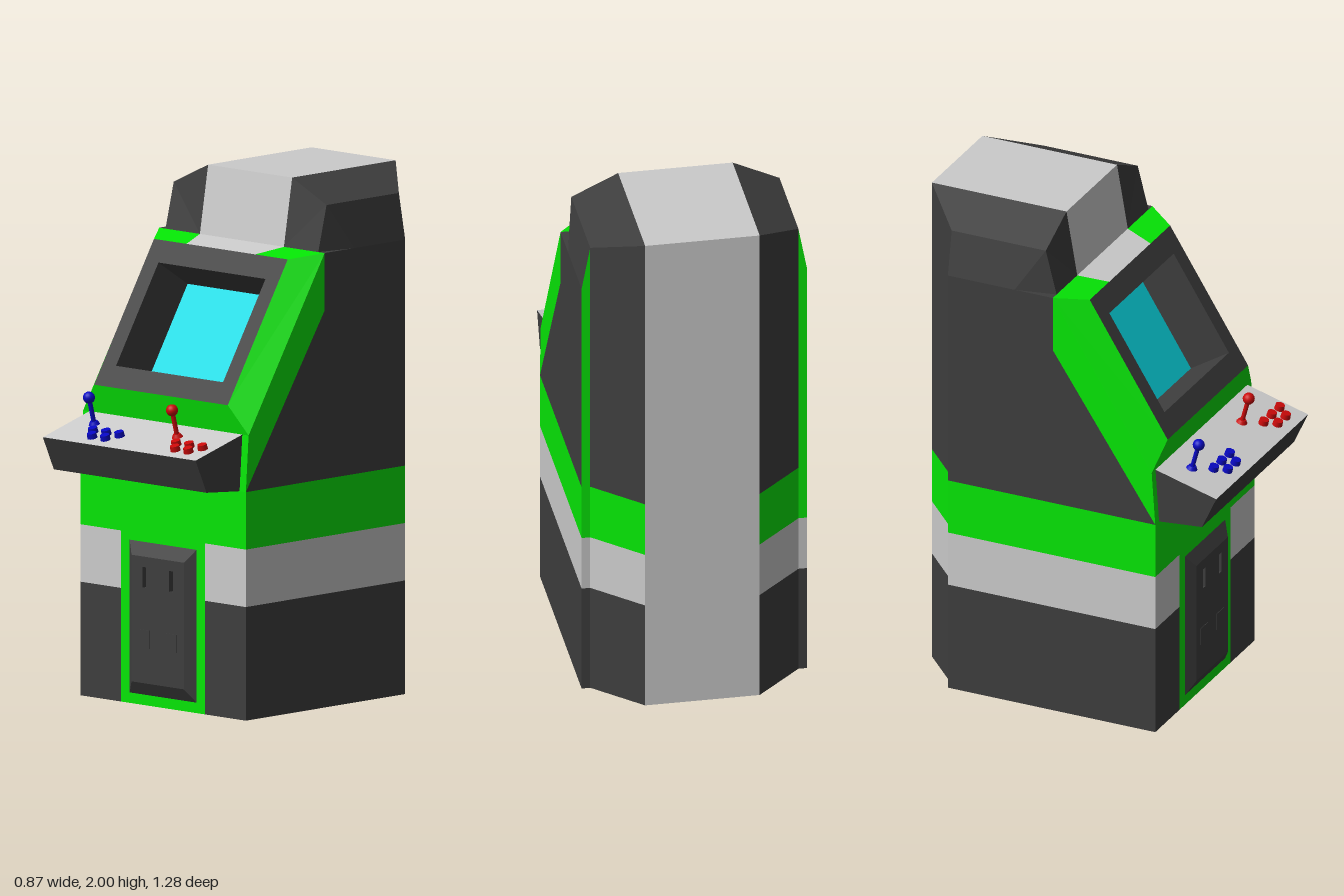
import * as THREE from 'three';

const GREEN = 0x05e605, DARK = 0x3e3e3e, SLOT = 0x222222, LIGHT = 0xcccccc, CYAN = 0x08dce6, BLUE = 0x0808c4, RED = 0xcc0a0a;
const W = 0.433; // half width of the cabinet
const material = color => new THREE.MeshStandardMaterial({ color });

// Flat polygons, corners counter-clockwise from outside, fanned from the first corner
function facets(name, color, faces) {
  const pos = [];
  for (const f of faces)
    for (let i = 1; i < f.length - 1; i++) pos.push(...f[0], ...f[i], ...f[i + 1]);
  const g = new THREE.BufferGeometry();
  g.setAttribute('position', new THREE.Float32BufferAttribute(pos, 3));
  g.computeVertexNormals();
  return solid(name, color, g);
}

function solid(name, color, geometry, x = 0, y = 0, z = 0) {
  const m = new THREE.Mesh(geometry, material(color));
  m.name = name;
  m.position.set(x, y, z);
  return m;
}

// Add the mirror image (x -> -x) of each face, keeping its first corner first
const both = faces => faces.flatMap(f => {
  const [first, ...rest] = f.map(([x, y, z]) => [-x, y, z]);
  return [f, [first, ...rest.reverse()]];
});
// Face spanning the width, from half-width points listed bottom to top
const span = (a, b) => [[-a[0], a[1], a[2]], a, b, [-b[0], b[1], b[2]]];

function rectPath(target, x0, y0, x1, y1) {
  target.moveTo(x0, y0);
  target.lineTo(x1, y0);
  target.lineTo(x1, y1);
  target.lineTo(x0, y1);
  target.closePath();
  return target;
}

function plate(outer, holes, depth) {
  const s = rectPath(new THREE.Shape(), ...outer);
  for (const h of holes) s.holes.push(rectPath(new THREE.Path(), ...h));
  return new THREE.ExtrudeGeometry(s, { depth, bevelEnabled: false });
}

function cabinet() {
  const g = new THREE.Group();
  g.name = 'cabinet';
  // Coloured bands wrapped round the lower body
  const plan = [[0.22, 0.4], [W, 0.4], [W, -0.47], [0.4, -0.47], [0.22, -0.64]];
  const bands = [['baseBand', DARK, 0, 0.435], ['middleBand', LIGHT, 0.435, 0.655], ['upperBand', GREEN, 0.655, 0.875]];
  for (const [name, color, lo, hi] of bands) {
    const faces = plan.slice(1).map(([x, z], i) => {
      const [px, pz] = plan[i];
      return [[px, lo, pz], [x, lo, z], [x, hi, z], [px, hi, pz]];
    });
    g.add(facets(name, color, both(faces)));
  }
  g.add(facets('frontCentre', GREEN, [span([0.22, 0, 0.4], [0.22, 0.875, 0.4])]));
  const right = plan.map(([x, z]) => [x, 0, z]);
  const left = plan.map(([x, z]) => [-x, 0, z]);
  g.add(facets('underside', DARK, [[...left, ...right.reverse()]]));

  // Upper sides and rear corners
  g.add(facets('sidePanels', DARK, both([
    [[W, 1.52, -0.03], [W, 0.875, 0.4], [W, 0.875, -0.47], [W, 1.74, -0.47], [W, 1.74, -0.03]],
    [[0.4, 0.875, -0.47], [0.22, 0.875, -0.64], [0.22, 2, -0.64], [0.4, 1.915, -0.47]],
  ])));
  g.add(facets('sideTrim', GREEN, both([
    [[W, 0.875, 0.4], [W, 1.52, -0.03], [W, 1.74, -0.03], [W, 1.09, 0.385]],
    [[W, 0.875, -0.47], [0.4, 0.875, -0.47], [0.4, 1.915, -0.47], [W, 1.74, -0.47]],
  ])));
  g.add(facets('spine', LIGHT, [
    span([-0.22, 0, -0.64], [-0.22, 2, -0.64]),
    span([0.22, 2, -0.075], [0.22, 2, -0.64]),
    span([0.22, 1.74, -0.03], [0.22, 2, -0.075]),
    span([0.18, 1.72, 0.085], [0.22, 1.74, -0.03]),
  ]));

  // Chamfered head, narrower at the front so a small ledge is left on each side
  const corner = [0.4, 1.915, -0.075], foot = [0.4, 1.74, -0.03], ledgeEnd = [W, 1.74, -0.19];
  g.add(facets('head', DARK, both([
    [corner, foot, ledgeEnd, [W, 1.74, -0.47], [0.4, 1.915, -0.47]],
    [foot, [W, 1.74, -0.03], ledgeEnd],
    [[0.22, 1.74, -0.03], foot, corner, [0.22, 2, -0.075]],
    [[0.22, 2, -0.075], corner, [0.4, 1.915, -0.47], [0.22, 2, -0.64]],
  ])));

  // Sloping surround of the screen
  g.add(facets('screenSurround', GREEN, [
    ...both([
      [[0.35, 1.2, 0.412], [W, 1.09, 0.385], [W, 1.74, -0.03], [0.35, 1.72, 0.085]],
      [[0.18, 1.72, 0.085], [0.35, 1.72, 0.085], [W, 1.74, -0.03], [0.22, 1.74, -0.03]],
    ]),
    span([W, 1.09, 0.385], [0.35, 1.2, 0.412]),
    span([W, 0.875, 0.4], [W, 1.09, 0.385]),
  ]));
  return g;
}

// Tilted bezel with the screen at the bottom of a deep opening
function display() {
  const g = new THREE.Group();
  g.name = 'display';
  g.position.set(0, 1.46, 0.2485);
  g.rotation.x = -Math.atan2(0.327, 0.52);
  const h = Math.hypot(0.327, 0.52) / 2, depth = 0.19;
  g.add(solid('bezel', DARK, plate([-0.35, -h, 0.35, h], [[-0.28, -0.219, 0.28, 0.216]], depth), 0, 0, -depth));
  g.add(solid('screen', CYAN, new THREE.PlaneGeometry(0.56, 0.438), 0, 0, -depth + 0.002));
  return g;
}

function coinDoor() {
  const g = new THREE.Group();
  g.name = 'coinDoor';
  const o = [[-0.175, 0.04], [0.175, 0.04], [0.175, 0.625], [-0.175, 0.625]];
  const n = [[-0.137, 0.09], [0.137, 0.09], [0.137, 0.575], [-0.137, 0.575]];
  // Bevelled rim
  g.add(facets('doorRim', DARK, o.map((p, i) => {
    const j = (i + 1) % 4;
    return [[...p, 0.4], [...o[j], 0.4], [...n[j], 0.43], [...n[i], 0.43]];
  })));
  // Door with coin slots and return flaps
  const slots = [-0.07, 0.07].map(x => [x - 0.01, 0.455, x + 0.01, 0.535]);
  g.add(solid('doorPlate', DARK, plate([...n[0], ...n[2]], slots, 0.025), 0, 0, 0.405));
  for (const x of [-0.07, 0.07]) {
    g.add(solid('coinSlot', SLOT, new THREE.BoxGeometry(0.03, 0.09, 0.01), x, 0.495, 0.402));
    g.add(solid('returnFlap', DARK, new THREE.BoxGeometry(0.06, 0.07, 0.01), x, 0.26, 0.427));
  }
  return g;
}

function joystick(color) {
  const g = new THREE.Group();
  g.name = 'joystick';
  g.add(solid('stickBase', color, new THREE.CylinderGeometry(0.014, 0.022, 0.014, 12), 0, 0.007, 0));
  g.add(solid('shaft', color, new THREE.CylinderGeometry(0.009, 0.009, 0.11, 10), 0, 0.055, 0));
  g.add(solid('knob', color, new THREE.SphereGeometry(0.023, 16, 12), 0, 0.11, 0));
  return g;
}

// Sloped control deck with two sets of controls
function controls() {
  const g = new THREE.Group();
  g.name = 'controlPanel';
  const [back, lip, chin, root] = [[0.4, 1.09, 0.385], [0.4, 1.02, 0.64], [0.4, 0.89, 0.58], [0.4, 0.875, 0.4]];
  g.add(facets('deck', LIGHT, [span(lip, back)]));
  g.add(facets('deckBody', DARK, [span(chin, lip), span(root, chin), ...both([[lip, chin, root, back]])]));
  const tilt = Math.atan2(0.07, 0.255);
  const deckY = z => 1.09 - (z - 0.385) * 0.07 / 0.255;
  for (const [x, color] of [[-0.283, BLUE], [0.152, RED]]) {
    const stick = joystick(color);
    stick.position.set(x, deckY(0.481), 0.481);
    stick.rotation.x = tilt;
    g.add(stick);
    for (const [dx, z] of [[0.056, 0.546], [0.125, 0.546], [0.194, 0.546], [0.091, 0.588], [0.16, 0.588]]) {
      const b = solid('button', color, new THREE.CylinderGeometry(0.018, 0.02, 0.026, 14), x + dx, deckY(z) + 0.008, z);
      b.rotation.x = tilt;
      g.add(b);
    }
  }
  return g;
}

export function createModel() {
  const model = new THREE.Group();
  model.name = 'arcadeMachine';
  model.add(cabinet(), display(), coinDoor(), controls());
  return model;
}
